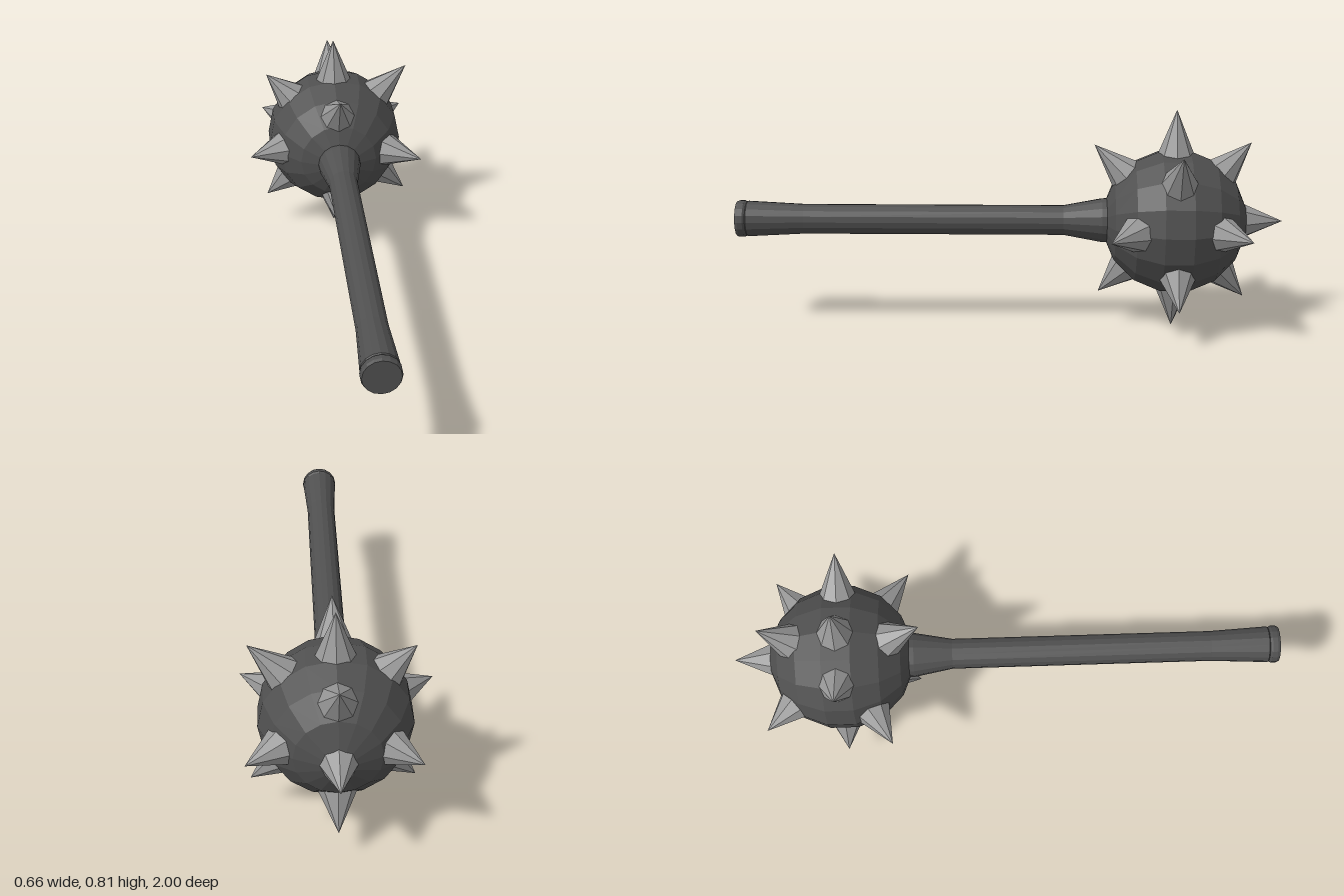
import * as THREE from 'three';

const CENTER = new THREE.Vector3(0.01, 0.407, -0.605);
const BALL_R = 0.265;

// Lathe around the z axis from [radius, z] pairs ordered back to front
function latheZ(profile, segments, material, name) {
  const geo = new THREE.LatheGeometry(profile.map(([r, z]) => new THREE.Vector2(r, z)), segments);
  geo.rotateX(Math.PI / 2);
  const mesh = new THREE.Mesh(geo, material);
  mesh.name = name;
  return mesh;
}

export function createModel() {
  const model = new THREE.Group();
  model.name = 'spikedMace';
  const dark = new THREE.MeshStandardMaterial({ color: 0x505050, flatShading: true });
  const steel = new THREE.MeshStandardMaterial({ color: 0x999999, flatShading: true });

  // Faceted ball with a small flat at each pole
  const ballProfile = [[0, -BALL_R * 0.981]];
  for (let i = 0; i < 8; i++) {
    const a = (i + 0.5) * Math.PI / 8;
    ballProfile.push([BALL_R * Math.sin(a), -BALL_R * Math.cos(a)]);
  }
  ballProfile.push([0, BALL_R * 0.981]);
  const ball = latheZ(ballProfile, 16, dark, 'head');
  ball.position.copy(CENTER);
  model.add(ball);

  // Shaft flaring into the head and towards the grip end
  const shaft = latheZ([
    [0, -0.4], [0.083, -0.4], [0.081, -0.34], [0.055, -0.2], [0.055, 0.75],
    [0.066, 0.96], [0.06, 0.966], [0, 0.966],
  ], 16, dark, 'handle');
  // Rounded end cap, set off by a narrow groove
  const pommel = latheZ([
    [0, 0.96], [0.06, 0.96], [0.068, 0.972], [0.068, 0.99], [0.064, 1], [0, 1],
  ], 16, dark, 'pommel');
  for (const part of [shaft, pommel]) {
    part.position.set(CENTER.x, CENTER.y, 0);
    model.add(part);
  }

  // Spikes: tip positions relative to the ball centre
  const tips = [
    [0, 0.412, 0], [0, -0.402, 0], [0, 0, -0.395],
    [0.287, 0.293, 0], [-0.265, 0.278, 0], [0.29, -0.262, 0], [-0.275, -0.262, 0],
    [0.322, 0, 0.245], [-0.342, 0.013, 0.185], [0.3, 0, -0.25], [-0.275, 0, -0.268],
    [0, 0.283, 0.295], [0, -0.272, 0.275], [0, 0.293, -0.272], [0, -0.287, -0.262],
  ];
  const spikes = new THREE.Group();
  spikes.name = 'spikes';
  spikes.position.copy(CENTER);
  const up = new THREE.Vector3(0, 1, 0);
  const base = 0.22;
  for (const t of tips) {
    const tip = new THREE.Vector3(...t);
    const dist = tip.length();
    const height = dist - base;
    const spike = new THREE.Mesh(new THREE.ConeGeometry(0.078, height, 8), steel);
    spike.name = 'spike';
    const dir = tip.normalize();
    spike.quaternion.setFromUnitVectors(up, dir);
    spike.position.copy(dir).multiplyScalar(base + height / 2);
    spikes.add(spike);
  }
  model.add(spikes);
  return model;
}
